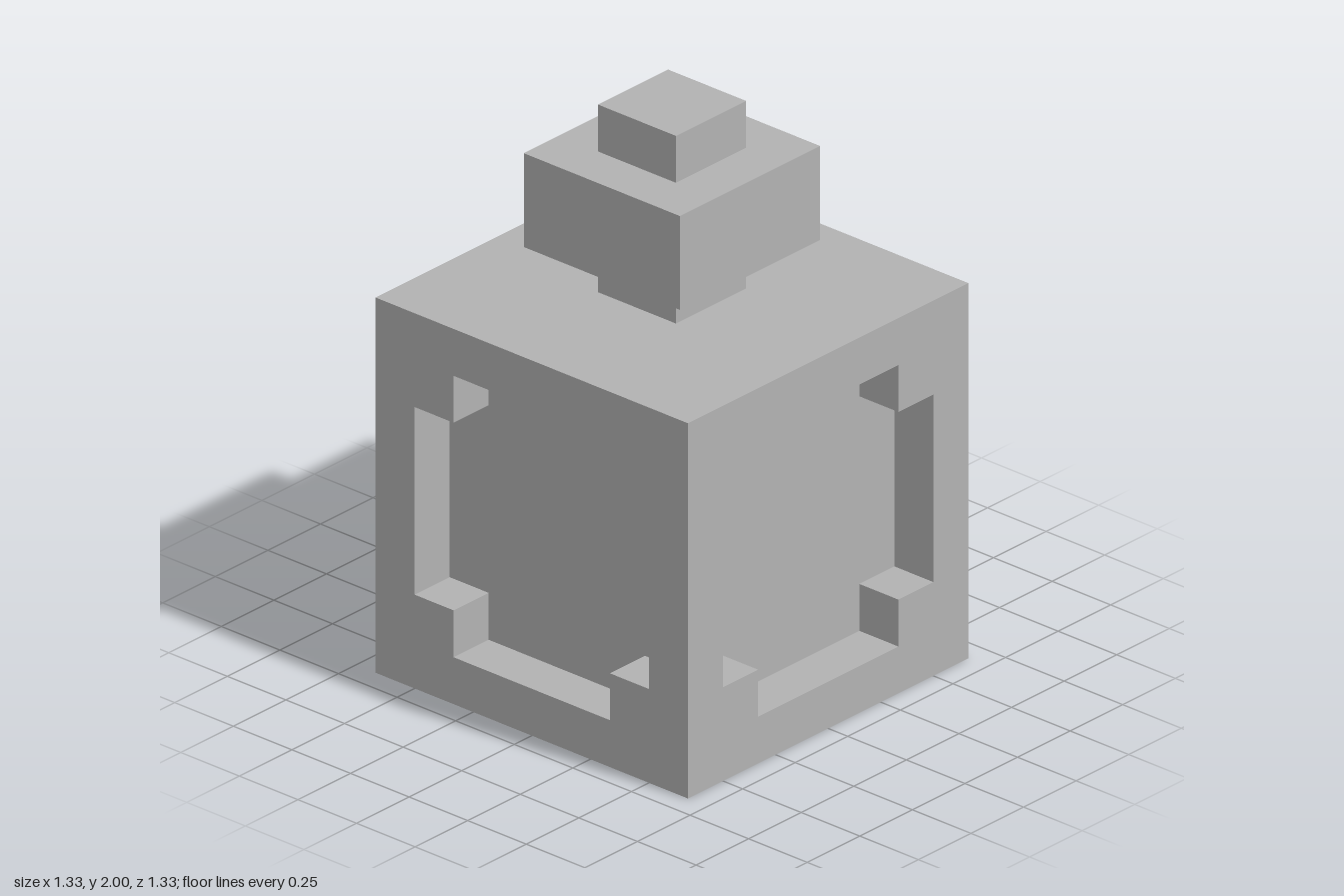
import * as THREE from 'three';

const U = 1 / 6; // grid unit: the body is 8 units wide, the whole model 12 tall

const grey = new THREE.MeshStandardMaterial({ color: 0xb2b2b2 });
grey.name = 'grey';

const toPoints = (list) => list.map(([x, y]) => new THREE.Vector2(x * U, y * U));

// Counter-clockwise outlines, in units
const FACE = [[-4, -4], [4, -4], [4, 4], [-4, 4]];
const WINDOW = [
  [-2, -3], [2, -3], [2, -2], [3, -2], [3, 2], [2, 2],
  [2, 3], [-2, 3], [-2, 2], [-3, 2], [-3, -2], [-2, -2],
];
const SQUARE = [[-3, -3], [3, -3], [3, 3], [-3, 3]];

function addMesh(parent, name, geometry) {
  const mesh = new THREE.Mesh(geometry, grey);
  mesh.name = name;
  parent.add(mesh);
  return mesh;
}

// Inward-facing walls running one unit back from an outline
function wallGeometry(outline) {
  const positions = [];
  outline.forEach((a, i) => {
    const b = outline[(i + 1) % outline.length];
    positions.push(
      a.x, a.y, 0, b.x, b.y, 0, b.x, b.y, -U,
      a.x, a.y, 0, b.x, b.y, -U, a.x, a.y, -U
    );
  });
  const geometry = new THREE.BufferGeometry();
  geometry.setAttribute('position', new THREE.Float32BufferAttribute(positions, 3));
  geometry.computeVertexNormals();
  return geometry;
}

// One body face: flat frame, recess walls and recess floor
function recessedFace(name, opening) {
  const group = new THREE.Group();
  group.name = name;
  const outline = toPoints(opening);
  const frame = new THREE.Shape(toPoints(FACE));
  frame.holes.push(new THREE.Path(outline));
  addMesh(group, 'frame', new THREE.ShapeGeometry(frame)).position.z = 4 * U;
  addMesh(group, 'recessWalls', wallGeometry(outline)).position.z = 4 * U;
  addMesh(group, 'recessPanel', new THREE.ShapeGeometry(new THREE.Shape(outline))).position.z = 3 * U;
  return group;
}

// Square stepped form: a four-sided lathe, profile given as [half width, height]
function squareLathe(profile) {
  const points = profile.map(([r, y]) => new THREE.Vector2(r * U * Math.SQRT2, y * U));
  const geometry = new THREE.LatheGeometry(points, 4, Math.PI / 4).toNonIndexed();
  geometry.computeVertexNormals();
  return geometry;
}

export function createModel() {
  const model = new THREE.Group();
  model.name = 'squareBottle';

  // Body: four sides with notched windows and a square recess underneath
  const body = new THREE.Group();
  body.name = 'body';
  body.position.y = 4 * U;
  ['frontSide', 'leftSide', 'backSide', 'rightSide'].forEach((name, i) => {
    const side = recessedFace(name, WINDOW);
    side.rotation.y = (i * Math.PI) / 2;
    body.add(side);
  });
  const base = recessedFace('base', SQUARE);
  base.rotation.x = Math.PI / 2;
  body.add(base);
  model.add(body);

  // Shoulder, neck, collar and cap
  addMesh(model, 'shoulder', squareLathe([[4, 8], [1, 8]]));
  addMesh(model, 'neck', squareLathe([[1, 8], [1, 9]]));
  addMesh(model, 'collar', squareLathe([[1, 9], [2, 9], [2, 11], [1, 11]]));
  addMesh(model, 'cap', squareLathe([[1, 11], [1, 12], [0, 12]]));

  return model;
}
